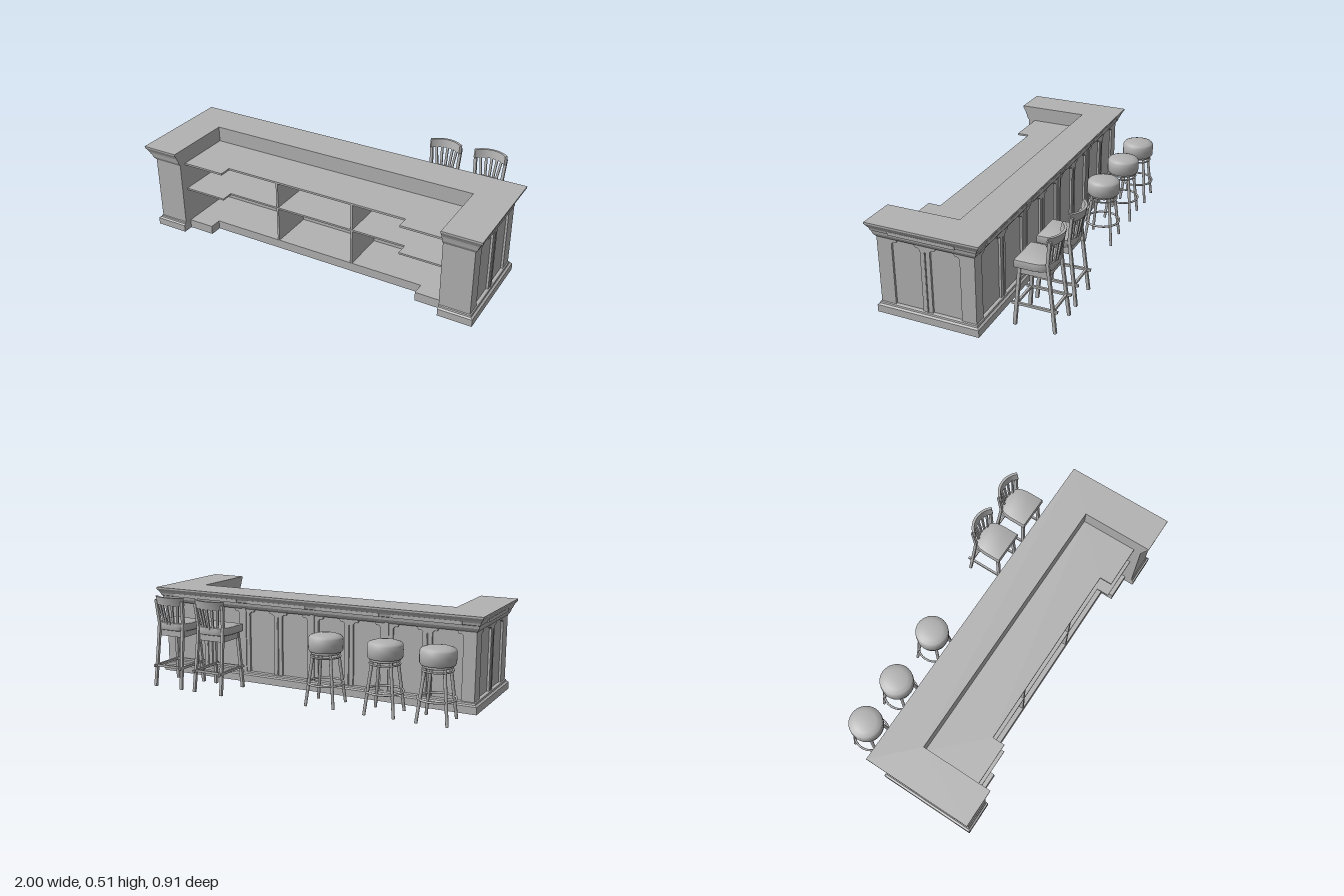
import * as THREE from 'three';
import { toCreasedNormals } from 'three/addons/utils/BufferGeometryUtils.js';

const grey = new THREE.MeshStandardMaterial({ color: 0xb2b2b2 });
grey.name = 'plain grey';

// Counter dimensions: body half width, back, front, inner arm face, inner back wall
const XB = 0.957, ZB = -0.109, ZF = 0.422, XI = 0.79, ZI = 0.055;

function add(parent, name, geometry) {
  const m = new THREE.Mesh(geometry, grey);
  m.name = name;
  parent.add(m);
  return m;
}

function box(parent, name, x0, x1, y0, y1, z0, z1) {
  const g = new THREE.BoxGeometry(x1 - x0, y1 - y0, z1 - z0);
  g.translate((x0 + x1) / 2, (y0 + y1) / 2, (z0 + z1) / 2);
  return add(parent, name, g);
}

// Horizontal slab from [x, z] outline
function slab(points, y0, y1) {
  const s = new THREE.Shape(points.map(([x, z]) => new THREE.Vector2(x, -z)));
  const g = new THREE.ExtrudeGeometry(s, { depth: y1 - y0, bevelEnabled: false });
  return g.rotateX(-Math.PI / 2).translate(0, y0, 0);
}

// Straight bar between two points, square (sides = 4) or round
function bar(parent, name, a, b, r, sides = 8, rTop = r) {
  const p = new THREE.Vector3(...a), q = new THREE.Vector3(...b), d = q.clone().sub(p);
  let g = new THREE.CylinderGeometry(rTop, r, d.length(), sides);
  if (sides === 4) g = toCreasedNormals(g.rotateY(Math.PI / 4), 0.5);
  const m = add(parent, name, g);
  m.position.copy(p).add(q).multiplyScalar(0.5);
  m.quaternion.setFromUnitVectors(new THREE.Vector3(0, 1, 0), d.normalize());
  return m;
}

// U-shaped counter outline pushed outward by o (sides, back) and f (front)
function ring(o, f) {
  const x = XB + o, b = ZB - o, z = ZF + f;
  return [[-XI, ZI], [XI, ZI], [XI, z], [x, z], [x, b], [-x, b], [-x, z], [-XI, z]];
}

// Stacked outlines joined by flat walls; levels are [y, o, f]
function loft(levels) {
  const rings = levels.map(([y, o, f = o * 0.87]) => ring(o, f).map(([x, z]) => [x, y, z]));
  const pos = [];
  const n = rings[0].length;
  for (let k = 0; k + 1 < rings.length; k++) {
    for (let i = 0; i < n; i++) {
      const j = (i + 1) % n, a = rings[k][i], b = rings[k][j], c = rings[k + 1][j], d = rings[k + 1][i];
      pos.push(...a, ...b, ...c, ...a, ...c, ...d);
    }
  }
  // top and bottom caps
  for (const [r, flip] of [[rings[0], true], [rings.at(-1), false]]) {
    const outline = r.map(([x, , z]) => new THREE.Vector2(x, -z));
    for (const t of THREE.ShapeUtils.triangulateShape(outline, [])) {
      for (const i of flip ? [t[0], t[2], t[1]] : t) pos.push(...r[i]);
    }
  }
  const g = new THREE.BufferGeometry();
  g.setAttribute('position', new THREE.Float32BufferAttribute(pos, 3));
  g.computeVertexNormals();
  return g;
}

// Panelled facing: a frame with notched openings, extruded 0.012
function facing(u0, u1, panels) {
  const rect = (pts) => pts.map(([x, y]) => new THREE.Vector2(x, y));
  const s = new THREE.Shape(rect([[u0, 0.05], [u1, 0.05], [u1, 0.43], [u0, 0.43]]));
  const c = 0.025, yb = 0.057, yt = 0.42, yn = 0.405;
  for (const [a, b] of panels) {
    s.holes.push(new THREE.Path(rect([
      [a, yb], [a, yn - 0.01], [a + 0.01, yn], [a + c, yn], [a + c + 0.008, yt],
      [b - c - 0.008, yt], [b - c, yn], [b - 0.01, yn], [b, yn - 0.01], [b, yb]])));
  }
  return new THREE.ExtrudeGeometry(s, { depth: 0.012, bevelEnabled: false });
}

function counter() {
  const g = new THREE.Group();
  g.name = 'counter';
  add(g, 'plinth', loft([[0, 0.019], [0.04, 0.019], [0.046, 0.008], [0.055, 0.006], [0.058, 0]]));
  add(g, 'body', loft([[0.05, -0.012, 0], [0.43, -0.012, 0]]));
  add(g, 'cornice', loft([[0.42, 0], [0.43, 0.008], [0.44, 0.014], [0.455, 0.017], [0.458, 0.022],
    [0.47, 0.025], [0.482, 0.032], [0.495, 0.041], [0.498, 0.043], [0.507, 0.043]]));

  // panelled ends
  for (const s of [1, -1]) {
    const pair = (a, b) => (s > 0 ? [-b, -a] : [a, b]);
    const m = add(g, 'endPanels', facing(...pair(-0.1, ZF), [pair(0.183, 0.34), pair(-0.03, 0.13)]));
    m.rotation.y = s * Math.PI / 2;
    m.position.x = s * (XB - 0.012);
    bar(g, 'endBead', [s * XB, 0.057, 0.157], [s * XB, 0.39, 0.157], 0.004);
    const x = s * (XB + 0.02);
    box(g, 'endFrieze', x - 0.009, x + 0.009, 0.456, 0.474, -0.02, 0.34);
  }

  // panelled back in four bays, two openings each
  const edges = [-XB, -0.47, -0.03, 0.41, XB];
  const panels = [];
  for (let i = 0; i < 4; i++) {
    const a = edges[i] + (i === 0 ? 0.07 : 0.035), b = edges[i + 1] - (i === 3 ? 0.07 : 0.035);
    const mid = (a + b) / 2;
    panels.push([-mid + 0.026, -a], [-b, -mid - 0.026]);
    bar(g, 'backBead', [mid, 0.057, ZB], [mid, 0.39, ZB], 0.004);
    box(g, 'backFrieze', a, b, 0.456, 0.474, ZB - 0.029, ZB - 0.01);
    if (i > 0) box(g, 'backPilaster', edges[i] - 0.012, edges[i] + 0.012, 0.05, 0.43, ZB - 0.005, ZB + 0.005);
  }
  const back = add(g, 'backPanels', facing(-XB, XB, panels));
  back.rotation.y = Math.PI;
  back.position.z = ZB + 0.012;

  // inner floor, shelf and worktop, each stepping forward at both ends
  const stepped = (xs) => [[-XI, ZI], [-XI, 0.38], [-xs, 0.38], [-xs, 0.31],
    [xs, 0.31], [xs, 0.38], [XI, 0.38], [XI, ZI]];
  add(g, 'shelfFloor', slab(stepped(0.64), 0, 0.05));
  add(g, 'middleShelf', slab(stepped(0.54), 0.25, 0.26));
  add(g, 'worktop', slab(stepped(0.54), 0.408, 0.419));
  for (const x of [-0.23, 0.23]) box(g, 'divider', x - 0.006, x + 0.006, 0.05, 0.41, ZI, 0.308);
  return g;
}

function stool(x) {
  const g = new THREE.Group();
  g.name = 'stool';
  const profile = [[0, 0.288], [0.086, 0.288], [0.091, 0.295], [0.092, 0.33], [0.091, 0.357],
    [0.084, 0.367], [0.06, 0.375], [0.03, 0.379], [0, 0.38]].map((p) => new THREE.Vector2(...p));
  add(g, 'seat', toCreasedNormals(new THREE.LatheGeometry(profile, 32), 0.9));
  for (const [r, y, t] of [[0.072, 0.281, 0.008], [0.077, 0.26, 0.005], [0.096, 0.118, 0.006]]) {
    add(g, 'ring', new THREE.TorusGeometry(r, t, 8, 32).rotateX(Math.PI / 2).translate(0, y, 0));
  }
  for (let i = 0; i < 4; i++) {
    const a = (i + 0.47) * Math.PI / 2, c = Math.cos(a), s = Math.sin(a);
    bar(g, 'leg', [0.112 * c, 0, 0.112 * s], [0.068 * c, 0.29, 0.068 * s], 0.008, 10, 0.009);
  }
  g.position.set(x, 0, -0.307);
  return g;
}

function chair(x) {
  const g = new THREE.Group();
  g.name = 'barChair';
  // seat: straight front edge, tapering to a rounded back
  const s = new THREE.Shape();
  s.moveTo(-0.094, -0.093);
  s.lineTo(0.094, -0.093);
  s.lineTo(0.094, 0);
  s.quadraticCurveTo(0.09, 0.076, 0.04, 0.08);
  s.lineTo(-0.04, 0.08);
  s.quadraticCurveTo(-0.09, 0.076, -0.094, 0);
  const seat = new THREE.ExtrudeGeometry(s, {
    depth: 0.028, bevelThickness: 0.008, bevelSize: 0.005, bevelSegments: 2, curveSegments: 8 });
  add(g, 'seat', toCreasedNormals(seat.rotateX(-Math.PI / 2).translate(0, 0.328, 0), 0.7));
  box(g, 'apron', -0.08, 0.08, 0.285, 0.322, -0.07, 0.084);

  for (const m of [-1, 1]) {
    bar(g, 'frontLeg', [m * 0.09, 0, 0.098], [m * 0.076, 0.32, 0.076], 0.012, 4);
    const path = [[0.088, 0, -0.114], [0.08, 0.29, -0.078], [0.08, 0.36, -0.07], [0.088, 0.49, -0.083]];
    for (let i = 0; i < 3; i++) {
      const [a, b] = [path[i], path[i + 1]].map(([px, y, z]) => [m * px, y, z]);
      bar(g, 'backUpright', a, b, 0.011, 4);
    }
    box(g, 'sideStretcher', m * 0.085 - 0.006, m * 0.085 + 0.006, 0.112, 0.125, -0.125, 0.115);
  }
  for (const z of [0.09, -0.1]) box(g, 'crossStretcher', -0.09, 0.09, 0.112, 0.125, z - 0.006, z + 0.006);

  // curved top rail leaning outward with height, and slats fanned along it
  const arc = [];
  const half = 0.84;
  for (const [r, d] of [[0.128, 1], [0.114, -1]]) {
    for (let i = 0; i <= 12; i++) {
      const a = d * half * (i / 6 - 1);
      arc.push([r * Math.sin(a), -r * Math.cos(a) + 0.006]);
    }
  }
  const rail = slab(arc, 0.465, 0.511);
  const p = rail.attributes.position;
  for (let i = 0; i < p.count; i++) p.setZ(i, p.getZ(i) + (0.511 - p.getY(i)) * 0.2);
  add(g, 'topRail', toCreasedNormals(rail, 0.6));
  for (let i = -2; i <= 2; i++) {
    const a = i * 0.27, c = Math.cos(a), sn = Math.sin(a);
    const slat = bar(g, 'backSlat', [0.085 * sn, 0.35, -0.083 * c], [0.121 * sn, 0.475, -0.121 * c + 0.014], 0.009, 4);
    slat.scale.z = 0.7;
  }
  g.position.set(x, 0, -0.33);
  return g;
}

export function createModel() {
  const model = new THREE.Group();
  model.name = 'barCounterWithSeats';
  model.add(counter());
  for (const x of [-0.83, -0.55, -0.215]) model.add(stool(x));
  for (const x of [0.44, 0.705]) model.add(chair(x));
  return model;
}
